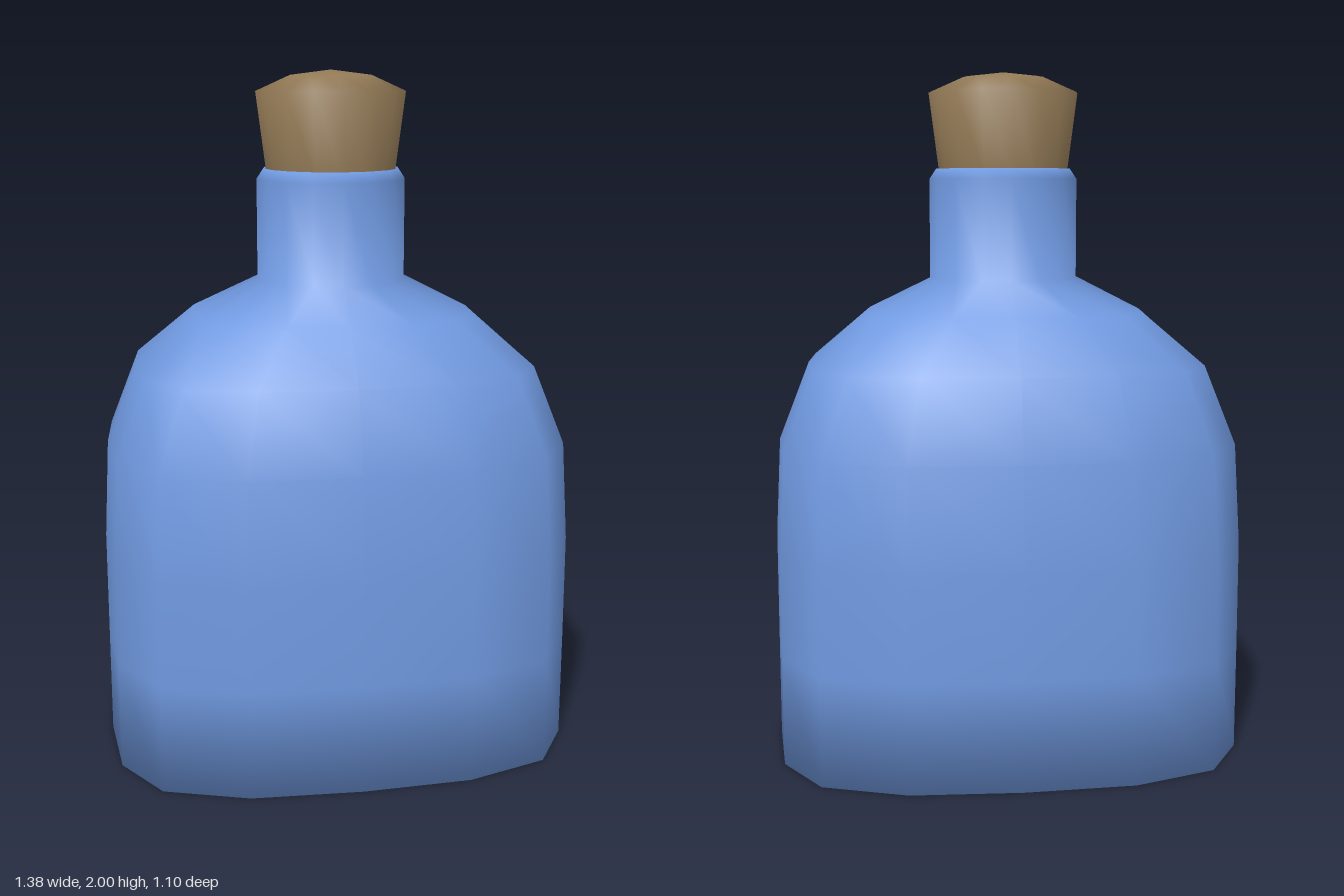
import * as THREE from 'three';
import { mergeVertices } from 'three/addons/utils/BufferGeometryUtils.js';

const SIDES = 16;

// Unit rounded-rectangle section, one quarter turn from +z towards +x
const QUARTER = [[0, 1], [0.464, 0.972], [0.815, 0.818], [0.972, 0.488], [1, 0]];

function squarePoint(i) {
  const k = i % SIDES;
  const q = k % 8 <= 4 ? k % 8 : 8 - (k % 8);
  const [x, z] = QUARTER[q];
  return [k > 8 ? -x : x, k > 4 && k < 12 ? -z : z];
}

// Rows run bottom to top: [height, half width, half depth, squareness 0..1]
function loft(rows) {
  const profile = rows.map(([y, rx]) => new THREE.Vector2(rx, y));
  const geo = new THREE.LatheGeometry(profile, SIDES);
  const pos = geo.attributes.position;
  for (let i = 0; i <= SIDES; i++) {
    const a = ((i % SIDES) / SIDES) * Math.PI * 2;
    const [sx, sz] = squarePoint(i);
    rows.forEach(([y, rx, rz, s], j) => {
      const x = THREE.MathUtils.lerp(Math.sin(a), sx, s) * rx;
      const z = THREE.MathUtils.lerp(Math.cos(a), sz, s) * rz;
      pos.setXYZ(i * rows.length + j, x, y, z);
    });
  }
  // Weld the seam and poles so shading is smooth all round
  geo.deleteAttribute('normal');
  geo.deleteAttribute('uv');
  const welded = mergeVertices(geo, 1e-4);
  welded.computeVertexNormals();
  return welded;
}

export function createModel() {
  const group = new THREE.Group();
  group.name = 'corkedBottle';

  const glass = new THREE.MeshStandardMaterial({ color: 0x7099e0 });
  glass.name = 'blue glass';
  const corkBrown = new THREE.MeshStandardMaterial({ color: 0x937a56 });
  corkBrown.name = 'cork brown';

  // Base, body, shoulders and neck in one smooth skin
  const bottle = new THREE.Mesh(loft([
    [0, 0, 0, 1],
    [0, 0.69, 0.547, 1],
    [0.32, 0.69, 0.552, 1],
    [0.63, 0.69, 0.547, 1],
    [0.92, 0.675, 0.518, 1],
    [1.15, 0.585, 0.452, 1],
    [1.3, 0.415, 0.342, 0.7],
    [1.4, 0.22, 0.22, 0],
    [1.69, 0.22, 0.22, 0],
    [1.72, 0.2, 0.2, 0],
    [1.715, 0.18, 0.18, 0],
  ]), glass);
  bottle.name = 'bottle';
  group.add(bottle);

  // Tapered stopper with a domed top
  const stopper = new THREE.Mesh(loft([
    [1.7, 0.19, 0.19, 0],
    [1.94, 0.221, 0.221, 0],
    [1.985, 0.12, 0.12, 0],
    [2, 0, 0, 0],
  ]), corkBrown);
  stopper.name = 'stopper';
  group.add(stopper);

  return group;
}
